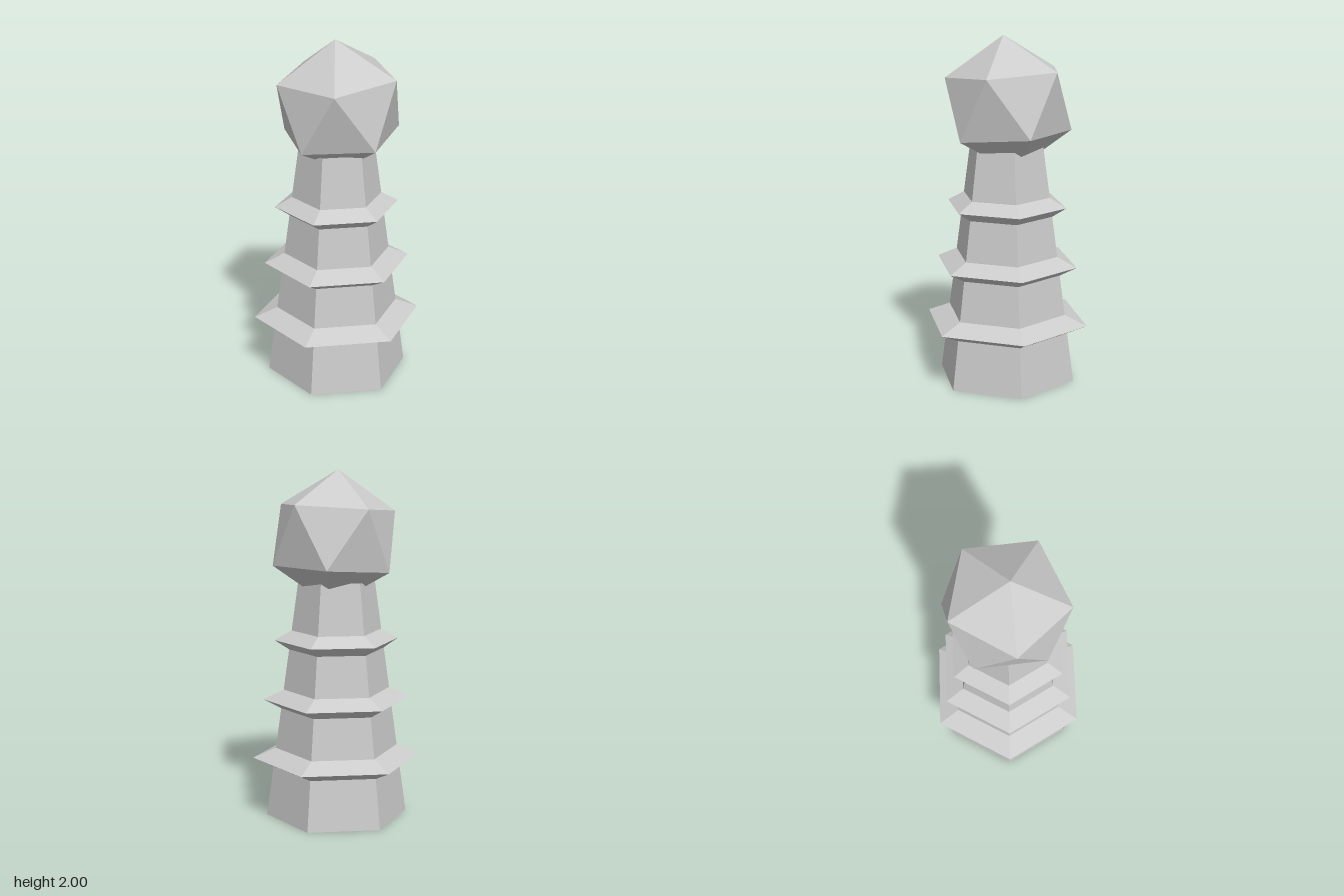
import * as THREE from 'three';

export function createModel() {
  const group = new THREE.Group();
  const material = new THREE.MeshStandardMaterial({
    color: 0xcccccc, flatShading: true, side: THREE.DoubleSide,
  });

  // Hollow six-sided shaft, tapering upwards, with three sharp collars
  const profile = [new THREE.Vector2(0.41, 0)];
  const collars = [[0.345, 0.487], [0.69, 0.422], [1.035, 0.356]];
  const shaftRadius = (y) => 0.41 - 0.139 * y;
  for (const [y, radius] of collars) {
    profile.push(
      new THREE.Vector2(shaftRadius(y - 0.055), y - 0.055),
      new THREE.Vector2(radius, y),
      new THREE.Vector2(shaftRadius(y + 0.055), y + 0.055),
    );
  }
  profile.push(new THREE.Vector2(shaftRadius(1.38), 1.38));
  const tower = new THREE.Mesh(new THREE.LatheGeometry(profile, 6), material);
  tower.name = 'tower';
  group.add(tower);

  // Faceted ball on top, tilted so one corner points almost straight up
  const ball = new THREE.Mesh(new THREE.IcosahedronGeometry(0.385, 0), material);
  ball.name = 'ball';
  const topCorner = new THREE.Vector3(-0.033, 0.384, 0.005).normalize();
  const backCorner = new THREE.Vector3(0.019, 0.185, -0.34).normalize();
  const yAxis = topCorner.clone().add(backCorner).normalize();
  const xAxis = backCorner.clone().sub(topCorner).normalize();
  const zAxis = xAxis.clone().cross(yAxis);
  ball.quaternion.setFromRotationMatrix(new THREE.Matrix4().makeBasis(xAxis, yAxis, zAxis));
  ball.position.set(0.016, 1.617, 0);
  group.add(ball);

  return group;
}
